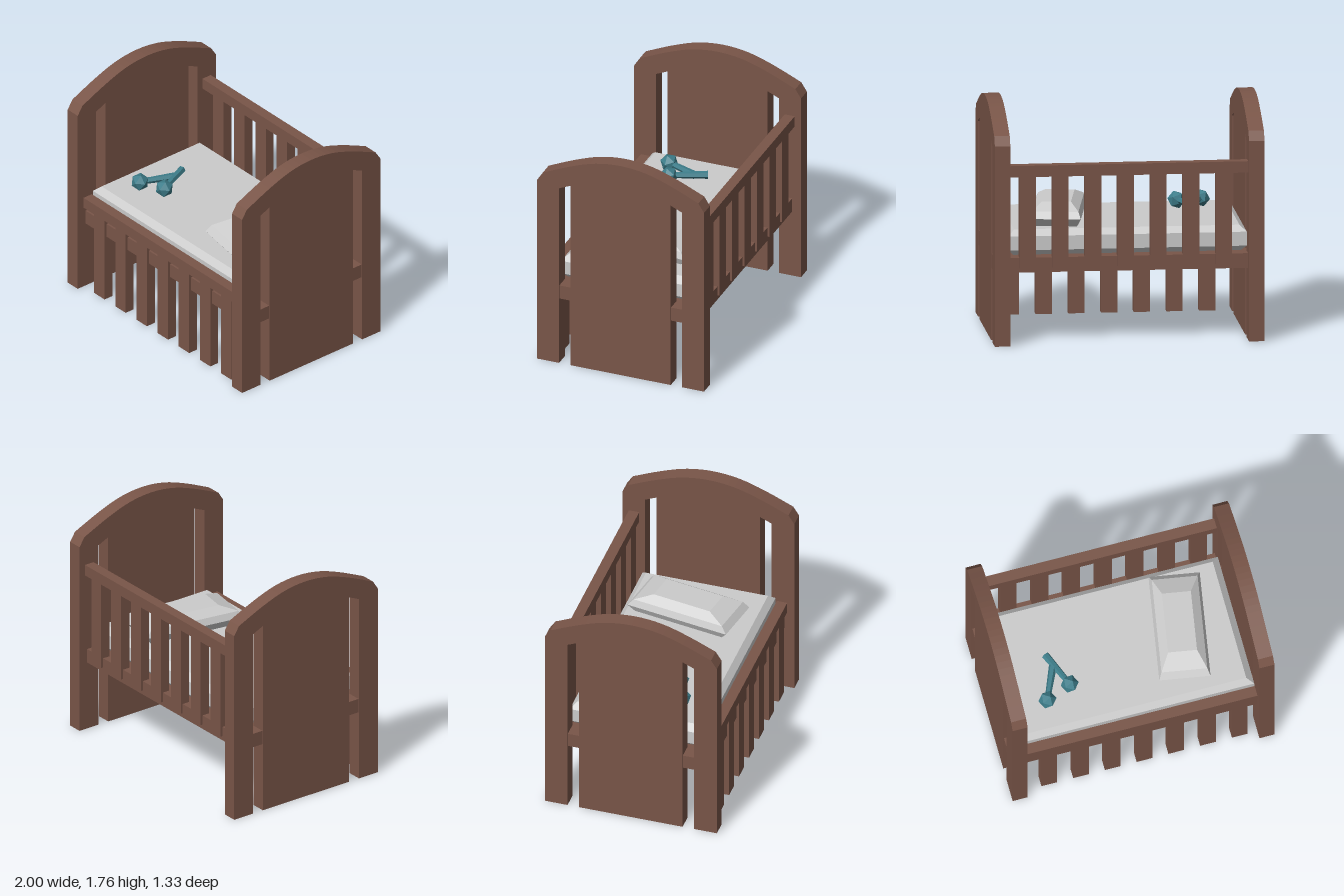
import * as THREE from 'three';

const wood = new THREE.MeshStandardMaterial({ color: 0x795548, flatShading: true });
const cloth = new THREE.MeshStandardMaterial({ color: 0xcccccc, flatShading: true });
const teal = new THREE.MeshStandardMaterial({ color: 0x3d7d8a, flatShading: true });

function add(parent, name, geometry, material) {
  const mesh = new THREE.Mesh(geometry, material);
  mesh.name = name;
  parent.add(mesh);
  return mesh;
}

// Box given by its lower and upper corners
function box(parent, name, [x0, y0, z0], [x1, y1, z1], material = wood) {
  const mesh = add(parent, name, new THREE.BoxGeometry(x1 - x0, y1 - y0, z1 - z0), material);
  mesh.position.set((x0 + x1) / 2, (y0 + y1) / 2, (z0 + z1) / 2);
  return mesh;
}

// Closed solid through rectangular rings [half width, y, half depth], bottom to top
function loftRect(rings) {
  const pos = [], idx = [];
  for (const [w, y, d] of rings) pos.push(-w, y, d, w, y, d, w, y, -d, -w, y, -d);
  for (let r = 0; r < rings.length - 1; r++) {
    for (let i = 0; i < 4; i++) {
      const a = r * 4 + i, b = r * 4 + (i + 1) % 4;
      idx.push(a, b, b + 4, a, b + 4, a + 4);
    }
  }
  const t = (rings.length - 1) * 4;
  idx.push(0, 2, 1, 0, 3, 2, t, t + 1, t + 2, t, t + 2, t + 3);
  const g = new THREE.BufferGeometry();
  g.setAttribute('position', new THREE.Float32BufferAttribute(pos, 3));
  g.setIndex(idx);
  const flat = g.toNonIndexed();
  flat.computeVertexNormals();
  return flat;
}

// Arched end board with two slots open at the floor
function endBoardGeometry() {
  const half = [[0.4, 0], [0.4, 1.51], [0.49, 1.47], [0.49, 0], [0.665, 0], [0.665, 1.505], [0.62, 1.575]];
  const arch = new THREE.SplineCurve([
    [0.62, 1.575], [0.4, 1.672], [0.2, 1.738], [0, 1.76], [-0.2, 1.738], [-0.4, 1.672], [-0.62, 1.575],
  ].map(([x, y]) => new THREE.Vector2(x, y))).getPoints(24).slice(1, -1);
  const mirrored = half.map(([x, y]) => new THREE.Vector2(-x, y)).reverse();
  const outline = [...half.map(([x, y]) => new THREE.Vector2(x, y)), ...arch, ...mirrored];
  const g = new THREE.ExtrudeGeometry(new THREE.Shape(outline), { depth: 0.115, bevelEnabled: false });
  g.translate(0, 0, -0.0575);
  g.rotateY(Math.PI / 2);
  return g;
}

// Side rail with seven slats hanging from it
function sideRail(name, z, top) {
  const g = new THREE.Group();
  g.name = name;
  box(g, 'topRail', [-0.89, top - 0.085, z - 0.04], [0.89, top, z + 0.04]);
  for (let i = 0; i < 7; i++) {
    const x = -0.705 + i * 0.2425;
    box(g, 'slat', [x - 0.06, top - 0.77, z - 0.038], [x + 0.06, top - 0.08, z + 0.038]);
  }
  return g;
}

// Toy rattle: a faceted ball on a tapered handle
function rattle(ball, tip, y) {
  const g = new THREE.Group();
  g.name = 'rattle';
  const a = new THREE.Vector3(ball[0], y, ball[1]);
  const b = new THREE.Vector3(tip[0], y, tip[1]);
  const head = add(g, 'rattleHead', new THREE.IcosahedronGeometry(0.068, 0), teal);
  head.position.copy(a);
  head.rotation.set(0.3, 0.5, 0.2);
  const handle = add(g, 'rattleHandle', new THREE.CylinderGeometry(0.03, 0.021, a.distanceTo(b), 6), teal);
  handle.position.copy(a).lerp(b, 0.5);
  handle.quaternion.setFromUnitVectors(new THREE.Vector3(0, 1, 0), b.clone().sub(a).normalize());
  return g;
}

export function createModel() {
  const crib = new THREE.Group();
  crib.name = 'crib';

  const board = endBoardGeometry();
  for (const s of [-1, 1]) add(crib, s > 0 ? 'leftEndBoard' : 'rightEndBoard', board, wood).position.x = s * 0.9425;

  // Lowered front side, raised back side
  crib.add(sideRail('frontSide', 0.57, 0.77));
  crib.add(sideRail('backSide', -0.575, 1.345));
  box(crib, 'bedBase', [-0.995, 0.54, -0.595], [0.995, 0.65, 0.59]);

  // Mattress with chamfered edges
  add(crib, 'mattress', loftRect([
    [0.84, 0.648, 0.475], [0.885, 0.69, 0.515], [0.885, 0.795, 0.515], [0.835, 0.84, 0.472],
  ]), cloth).position.z = 0.005;

  const pillow = add(crib, 'pillow', loftRect([
    [0.16, 0.84, 0.36], [0.19, 0.9, 0.408], [0.17, 0.95, 0.365], [0.107, 1.0, 0.232],
  ]), cloth);
  pillow.position.set(0.46, 0, -0.02);
  pillow.rotation.y = -0.166;

  crib.add(rattle([-0.63, 0.28], [-0.52, 0.03], 0.9));
  crib.add(rattle([-0.44, 0.205], [-0.555, -0.06], 0.905));
  return crib;
}
